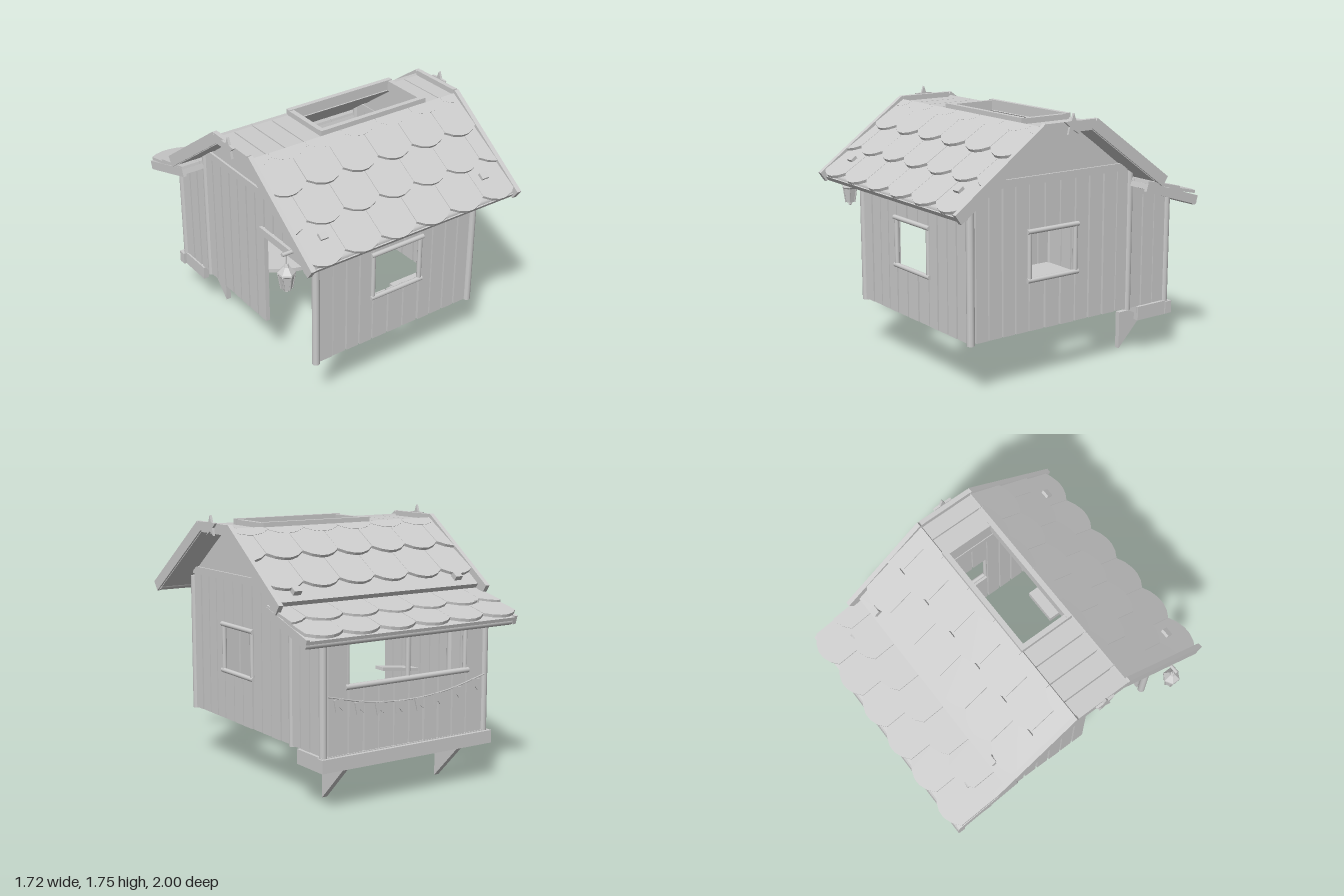
import * as THREE from 'three';

const paint = new THREE.MeshStandardMaterial({ color: 0xcccccc });
paint.name = 'plain grey';
const CX = 0.028; // centre line of the house
const PITCH = Math.atan2(0.465, 0.65);

function add(parent, name, geo, x = 0, y = 0, z = 0) {
  const m = new THREE.Mesh(geo, paint);
  m.name = name;
  m.position.set(x, y, z);
  parent.add(m);
  return m;
}
// box given by its limits
function block(parent, name, x0, x1, y0, y1, z0, z1) {
  return add(parent, name, new THREE.BoxGeometry(x1 - x0, y1 - y0, z1 - z0), (x0 + x1) / 2, (y0 + y1) / 2, (z0 + z1) / 2);
}
// round pole between two points
function pole(parent, name, a, b, r, sides = 10) {
  const p = new THREE.Vector3(...a), d = new THREE.Vector3(...b).sub(p);
  const m = add(parent, name, new THREE.CylinderGeometry(r, r, d.length(), sides));
  m.position.copy(p).addScaledVector(d, 0.5);
  m.quaternion.setFromUnitVectors(new THREE.Vector3(0, 1, 0), d.normalize());
  return m;
}
function group(parent, name) {
  const g = new THREE.Group();
  g.name = name;
  parent.add(g);
  return g;
}
// extrude an outline drawn in (z, y) to a plate of the given thickness, centred on x
function plateZY(parent, name, pts, t, x) {
  const shape = new THREE.Shape(pts.map(([z, y]) => new THREE.Vector2(-z, y)));
  const geo = new THREE.ExtrudeGeometry(shape, { depth: t, bevelEnabled: false });
  geo.translate(0, 0, -t / 2).rotateY(Math.PI / 2);
  return add(parent, name, geo, x);
}

let seed = 7;
const rnd = () => (seed = (seed * 16807) % 2147483647) / 2147483647;

// row of upright boards with small gaps
function boards(parent, u0, u1, y0, y1) {
  const n = Math.max(1, Math.round((u1 - u0) / 0.11)), w = (u1 - u0) / n;
  for (let i = 0; i < n; i++) {
    const gap = 0.008 + rnd() * 0.008, t = 0.022 + rnd() * 0.012;
    block(parent, 'board', u0 + i * w + gap / 2, u0 + (i + 1) * w - gap / 2, y0, y1, -t / 2, t / 2);
  }
}
// boarded wall with an optional opening [u0, u1, y0, y1]
function wall(parent, name, u0, u1, y0, y1, hole) {
  const g = group(parent, name);
  if (!hole) boards(g, u0, u1, y0, y1);
  else {
    const [a, b, c, d] = hole;
    if (a > u0) boards(g, u0, a, y0, y1);
    if (c > y0) boards(g, a, b, y0, c);
    boards(g, a, b, d, y1);
    if (b < u1) boards(g, b, u1, y0, y1);
  }
  return g;
}
function windowFrame(parent, [a, b, c, d], r = 0.016) {
  for (const y of [c, d]) pole(parent, 'windowRail', [a - 0.02, y, 0.02], [b + 0.02, y, 0.02], r);
  for (const u of [a, b]) pole(parent, 'windowStile', [u, c, 0.015], [u, d, 0.015], r);
}

// shingle outline with a faceted round lower end; half shingles stop at the roof edge
function shingle(cx, len, edge) {
  const w = 0.1335, drop = Math.min(0.06, len * 0.6), pts = [];
  const put = (x, z) => pts.push(new THREE.Vector2(Math.max(-edge, Math.min(edge, cx + x)), -z));
  put(-w, 0);
  [[-1, 1], [-0.62, 0.36], [-0.22, 0.03], [0, 0], [0.22, 0.03], [0.62, 0.36], [1, 1]].forEach(([k, d]) => put(k * w, len - d * drop));
  put(w, 0);
  const geo = new THREE.ExtrudeGeometry(new THREE.Shape(pts), { depth: 0.02, bevelEnabled: false });
  return geo.rotateX(-Math.PI / 2);
}
// roof slope: local z runs downhill, y is the outward normal
function slope(parent, name, z, y, angle, back, length, tips) {
  const g = group(parent, name), edge = 0.81, step = edge / 3;
  g.position.set(CX, y, z);
  g.rotation.order = 'YXZ';
  g.rotation.set(angle, back ? Math.PI : 0, 0);
  block(g, 'roofDeck', -edge, edge, -0.035, 0, 0, length);
  tips.forEach((tip, r) => {
    const full = (tips.length - 1 - r) % 2 === 0, len = Math.min(0.3, tip);
    for (let i = 0; i < (full ? 6 : 7); i++) {
      const cx = -edge + (i + (full ? 0.5 : 0)) * step;
      const m = add(g, 'shingle', shingle(cx, len, edge), 0, 0.001, tip - len);
      m.rotation.x = -0.07 - 0.012 * rnd();
    }
  });
  return g;
}

export function createModel() {
  const house = new THREE.Group();
  house.name = 'treeHouse';

  // front wall and window
  const fHole = [-0.165, 0.21, 0.68, 1.0];
  const front = wall(house, 'frontWall', -0.58, 0.63, 0.35, 1.28, fHole);
  front.position.z = 0.77;
  windowFrame(front, fHole);

  // side walls: local x runs towards the back
  const sHole = [-0.335, 0.035, 0.685, 1.0];
  const left = wall(house, 'windowSideWall', -0.75, 0.5, 0.35, 1.3, sHole);
  left.position.x = 0.655;
  windowFrame(left, sHole);
  const right = wall(house, 'doorSideWall', -0.75, 0.5, 0.35, 1.3, [-0.75, -0.23, 0.35, 1.07]);
  right.position.x = -0.6;
  block(right, 'doorHeader', -0.78, -0.2, 1.03, 1.08, -0.035, 0.02);
  for (const [w, s] of [[left, 1], [right, -1]]) {
    w.rotation.y = Math.PI / 2;
    const x = w.position.x;
    const side = wall(house, 'balconySideWall', 0.51, 0.82, 0.35, 1.13);
    side.rotation.y = Math.PI / 2;
    side.position.x = x;
    block(house, 'balconyHeader', x - 0.02, x + 0.02, 1.12, 1.19, -0.76, -0.5);
    block(house, 'gableBeam', x - 0.025, x + 0.025, 1.3, 1.35, -0.46, 0.75);
    plateZY(house, 'gable', [[0.76, 1.3], [-0.46, 1.3], [-0.03, 1.62], [0.33, 1.62]], 0.03, x - s * 0.005);
    pole(house, 'frontPost', [x, 0.34, 0.775], [x, 1.28, 0.775], 0.026);
    pole(house, 'middlePost', [x, 0.34, -0.5], [x, 1.3, -0.5], 0.026);
    pole(house, 'backPost', [x, 0.34, -0.84], [x, 1.12, -0.84], 0.026);
  }

  // balcony wall with its wide opening
  const bHole = [-0.44, 0.48, 0.77, 1.04];
  const backWall = wall(house, 'balconyWall', -0.58, 0.63, 0.34, 1.11, bHole);
  backWall.position.z = -0.84;
  for (const y of [0.76, 1.05]) pole(house, 'balconyRail', [-0.46, y, -0.85], [0.5, y, -0.85], 0.018);
  for (const x of [-0.44, 0.02, 0.48]) pole(house, 'balconyMullion', [x, 0.76, -0.84], [x, 1.05, -0.84], 0.016);
  const plank = block(house, 'loosePlank', -0.14, 0.14, 0.785, 0.805, -0.74, -0.66);
  plank.rotation.z = 0.12;

  // balcony floor, beams and brackets
  block(house, 'balconyFloor', -0.62, 0.67, 0.3, 0.345, -0.86, -0.58);
  block(house, 'outerBeam', -0.64, 0.69, 0.255, 0.34, -0.885, -0.83);
  for (const x of [-0.62, 0.64]) block(house, 'sideBeam', x, x + 0.04, 0.25, 0.345, -0.86, -0.585);
  for (const x of [-0.425, 0.475]) plateZY(house, 'bracket', [[-0.585, 0], [-0.585, 0.26], [-0.845, 0.26]], 0.036, x);
  add(house, 'roundFloor', new THREE.CylinderGeometry(0.45, 0.45, 0.03, 28, 1, false, -Math.PI / 2, Math.PI), CX, 0.365, -0.585);
  block(house, 'insideSeat', 0.17, 0.42, 0.47, 0.52, 0.54, 0.75);

  // bunting
  const cord = (t) => new THREE.Vector3(0.64 - 1.22 * t, 0.72 - 0.36 * t * (1 - t), -0.87);
  const line = new THREE.CatmullRomCurve3([0, 0.25, 0.5, 0.75, 1].map(cord));
  add(house, 'buntingCord', new THREE.TubeGeometry(line, 24, 0.005, 5));
  for (let i = 0; i < 8; i++) {
    const p = cord((i + 0.5) / 8);
    const flag = new THREE.Shape([[-0.035, 0], [-0.025, -0.075], [0, -0.05], [0.025, -0.08], [0.035, 0]].map((q) => new THREE.Vector2(...q)));
    const m = add(house, 'flag', new THREE.ExtrudeGeometry(flag, { depth: 0.008, bevelEnabled: false }), p.x, p.y, p.z - 0.006);
    m.rotation.z = (rnd() - 0.5) * 0.3;
  }

  // roof slopes with shingles
  const slopes = [
    slope(house, 'frontRoof', 0.335, 1.655, PITCH, false, 0.785, [0.08, 0.31, 0.55, 0.8]),
    slope(house, 'backRoof', -0.035, 1.655, PITCH, true, 0.67, [0.08, 0.33, 0.6]),
  ];
  const low = slope(house, 'balconyRoof', -0.5, 1.225, 0.3, true, 0.47, [0.29, 0.5]);
  for (const s of [-1, 1]) {
    slopes.forEach((g, i) => {
      block(g, 'bargeBoard', s * 0.805 - 0.016, s * 0.805 + 0.016, -0.03, 0.045, -0.01, i ? 0.74 : 0.8);
      block(g, 'roofPeg', s * 0.63 - 0.028, s * 0.63 + 0.028, 0.015, 0.05, 0.59, 0.635);
    });
    block(low, 'balconyBargeBoard', s * 0.8 - 0.012, s * 0.8 + 0.012, -0.05, 0.01, 0, 0.47);
    block(house, 'topBargeBoard', CX + s * 0.805 - 0.016, CX + s * 0.805 + 0.016, 1.635, 1.695, -0.04, 0.34);
  }
  pole(house, 'frontEavePole', [-0.79, 1.205, 0.94], [0.84, 1.205, 0.94], 0.028);
  pole(house, 'backEavePole', [-0.75, 1.06, -0.92], [0.84, 1.06, -0.92], 0.024);

  // flat roof top around the skylight
  for (const [a, b] of [[-0.79, -0.23], [0.57, 0.84]]) {
    const n = Math.round((b - a) / 0.14), w = (b - a) / n;
    for (let i = 0; i < n; i++) block(house, 'topBoard', a + i * w + 0.004, a + (i + 1) * w - 0.004, 1.625, 1.66, -0.05, 0.345);
  }
  for (const z of [-0.035, 0.32]) block(house, 'skylightLongSide', -0.245, 0.585, 1.625, 1.7, z - 0.017, z + 0.017);
  for (const x of [-0.227, 0.567]) block(house, 'skylightShortSide', x - 0.017, x + 0.017, 1.625, 1.695, -0.035, 0.32);

  // gable stars
  const star = [];
  for (let i = 0; i < 10; i++) {
    const r = i % 2 ? 0.032 : 0.072, a = (i * Math.PI) / 5 + Math.PI / 2;
    star.push([0.15 - r * Math.cos(a), 1.675 + r * Math.sin(a)]);
  }
  for (const x of [-0.805, 0.858]) plateZY(house, 'star', star, 0.016, x);

  // hanging lantern
  const lamp = group(house, 'lantern');
  lamp.position.set(-0.805, 0, 0.765);
  const profile = [[0, 0.965], [0.014, 0.97], [0.014, 0.985], [0.034, 0.99], [0.05, 1.085], [0.058, 1.095], [0.056, 1.105], [0.02, 1.145], [0.012, 1.165], [0, 1.165]];
  const body = new THREE.LatheGeometry(profile.map((p) => new THREE.Vector2(...p)), 6).toNonIndexed();
  body.computeVertexNormals();
  add(lamp, 'lanternBody', body);
  for (let i = 0; i < 6; i++) {
    const a = (i * Math.PI) / 3, s = Math.sin(a), c = Math.cos(a);
    pole(lamp, 'lanternBar', [0.035 * s, 0.99, 0.035 * c], [0.051 * s, 1.09, 0.051 * c], 0.005, 5);
  }
  pole(lamp, 'lanternCord', [0, 1.16, 0], [0, 1.24, 0], 0.005, 6);
  pole(lamp, 'lanternHook', [-0.03, 1.235, 0], [0.05, 1.235, 0], 0.013, 8);
  return house;
}
